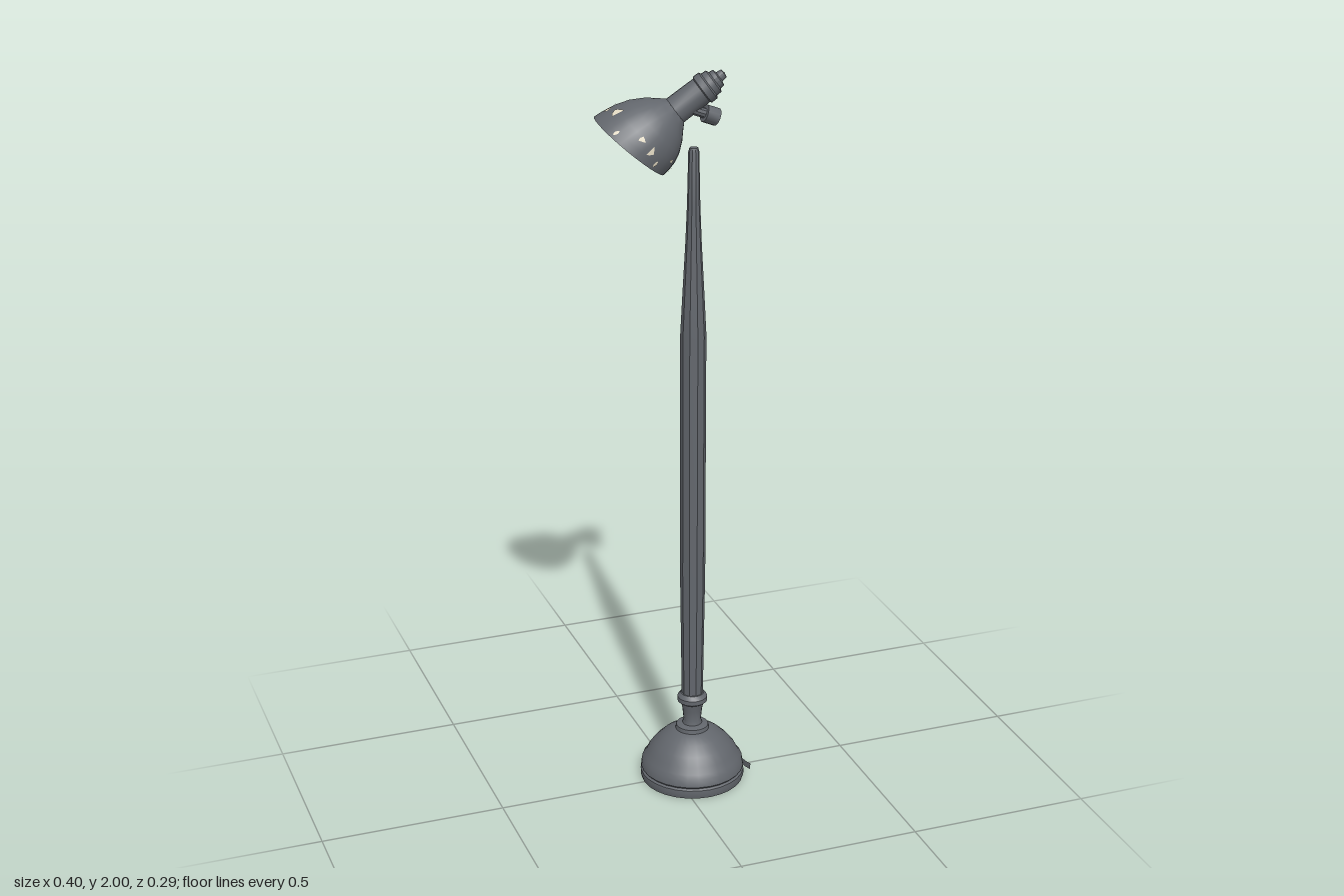
import * as THREE from 'three';
import { toCreasedNormals } from 'three/addons/utils/BufferGeometryUtils.js';

const metal = new THREE.MeshStandardMaterial({ color: 0x62666c, side: THREE.DoubleSide });
const bare = new THREE.MeshStandardMaterial({ color: 0xe2d9c2, side: THREE.DoubleSide });

function add(parent, name, geometry, material = metal) {
  const mesh = new THREE.Mesh(geometry, material);
  mesh.name = name;
  parent.add(mesh);
  return mesh;
}

// Turned part from [radius, height] pairs, bottom to top
function turned(profile, sides) {
  const points = profile.map(([r, y]) => new THREE.Vector2(r, y));
  return toCreasedNormals(new THREE.LatheGeometry(points, sides), 0.6);
}

// Shade outline, from the rim to the neck
const shadeProfile = [[0.111, 0], [0.109, 0.02], [0.103, 0.05], [0.091, 0.08],
  [0.071, 0.11], [0.05, 0.132], [0.036, 0.147]];

function shadeRadius(t) {
  for (let i = 1; i < shadeProfile.length; i++) {
    const [r0, t0] = shadeProfile[i - 1], [r1, t1] = shadeProfile[i];
    if (t <= t1) return r0 + (r1 - r0) * (t - t0) / (t1 - t0);
  }
  return 0.036;
}

// The rim is cut obliquely: slide points along the axis, fading out at the neck
function slant(geometry) {
  const p = geometry.attributes.position;
  for (let i = 0; i < p.count; i++) {
    const y = p.getY(i);
    p.setY(i, y - 0.24 * p.getX(i) * Math.max(0, 1 - y / 0.147));
  }
  geometry.computeVertexNormals();
  return geometry;
}

// Irregular patch of worn paint lying on the shade
function chip(angle, t, width, height, seed) {
  const corners = 6, positions = [], index = [];
  const put = (a, h) => {
    const r = shadeRadius(h) + 0.002;
    positions.push(r * Math.cos(a), h, r * Math.sin(a));
  };
  put(angle, t);
  for (let i = 0; i < corners; i++) {
    const a = (i / corners) * Math.PI * 2;
    const k = 0.75 + 0.25 * Math.sin(seed * 7.3 + i * 2.9);
    put(angle + Math.cos(a) * k * width / 0.21, Math.max(0.002, t + Math.sin(a) * k * height / 2));
    index.push(0, 1 + i, 1 + (i + 1) % corners);
  }
  const g = new THREE.BufferGeometry();
  g.setAttribute('position', new THREE.Float32BufferAttribute(positions, 3));
  g.setIndex(index);
  return slant(g);
}

function makeStand() {
  const stand = new THREE.Group();
  stand.name = 'stand';
  stand.position.x = 0.05;
  // Domed foot with a stepped lip
  add(stand, 'base', turned([[0, 0], [0.141, 0], [0.144, 0.012], [0.143, 0.024], [0.137, 0.028],
    [0.142, 0.034], [0.138, 0.056], [0.13, 0.066], [0.121, 0.084], [0.104, 0.106],
    [0.08, 0.129], [0.055, 0.144], [0.046, 0.147], [0.044, 0.158], [0.028, 0.163], [0, 0.163]], 28));
  // Narrow socket and ring under the post
  add(stand, 'collar', turned([[0.028, 0.16], [0.024, 0.175], [0.027, 0.205], [0.031, 0.225],
    [0.041, 0.232], [0.041, 0.245], [0.032, 0.256], [0, 0.256]], 16));
  // Faceted post, narrowing towards the top
  add(stand, 'post', turned([[0.029, 0.25], [0.031, 0.4], [0.034, 0.62], [0.034, 1.3], [0.029, 1.4],
    [0.021, 1.55], [0.017, 1.65], [0.014, 1.79], [0.011, 1.8], [0, 1.801]], 10));
  // Small peeling flake at the edge of the foot
  const flake = add(stand, 'flake', new THREE.PlaneGeometry(0.08, 0.018, 4, 1));
  const p = flake.geometry.attributes.position;
  for (let i = 0; i < p.count; i++) p.setZ(i, p.getX(i) ** 2 * 6);
  flake.geometry.computeVertexNormals();
  flake.rotation.y = Math.PI / 2;
  flake.position.set(0.143, 0.02, 0.015);
  return stand;
}

function makeHead() {
  const head = new THREE.Group();
  head.name = 'lampHead';
  // Local y runs along the shade axis, local x points to its upper side
  const axis = new THREE.Vector3(0.232, 0.174, 0.047).normalize();
  const up = new THREE.Vector3(0, 1, 0).addScaledVector(axis, -axis.y).normalize();
  const side = new THREE.Vector3().crossVectors(up, axis);
  head.quaternion.setFromRotationMatrix(new THREE.Matrix4().makeBasis(up, axis, side));
  head.position.set(-0.11, 1.81, -0.037);

  const shade = new THREE.LatheGeometry(shadeProfile.map(([r, t]) => new THREE.Vector2(r, t)), 28);
  add(head, 'shade', toCreasedNormals(slant(shade), 0.6));

  // Neck with stepped end caps
  add(head, 'neck', turned([[0, 0.142], [0.037, 0.142], [0.036, 0.228], [0.04, 0.231], [0.04, 0.248],
    [0.034, 0.252], [0.033, 0.266], [0.025, 0.27], [0.024, 0.281], [0.014, 0.284],
    [0.012, 0.298], [0, 0.301]], 16));

  // Worn patches in a band above the rim
  const chips = new THREE.Group();
  chips.name = 'wornPaint';
  for (let i = 0; i < 15; i++) {
    const angle = i * 0.419 + 0.1 * Math.sin(i * 5.1);
    const t = 0.034 + 0.018 * Math.sin(i * 2.3);
    add(chips, 'paintChip', chip(angle, t, 0.018 + 0.009 * Math.sin(i * 3.7), 0.026 + 0.01 * Math.sin(i * 1.9), i));
  }
  for (const c of chips.children) c.material = bare;
  head.add(chips);
  return head;
}

// Pivot bolt below the neck
function makePivot() {
  const pivot = new THREE.Group();
  pivot.name = 'pivot';
  pivot.position.set(0.092, 1.882, 0.008);
  pivot.rotation.z = 1.2;
  add(pivot, 'pivotKnob', toCreasedNormals(new THREE.CylinderGeometry(0.023, 0.023, 0.036, 12), 0.6));
  const stem = add(pivot, 'pivotStem', toCreasedNormals(new THREE.CylinderGeometry(0.013, 0.013, 0.06, 10), 0.6));
  stem.position.y = 0.04;
  return pivot;
}

export function createModel() {
  const lamp = new THREE.Group();
  lamp.name = 'floorLamp';
  lamp.add(makeStand(), makeHead(), makePivot());
  return lamp;
}
